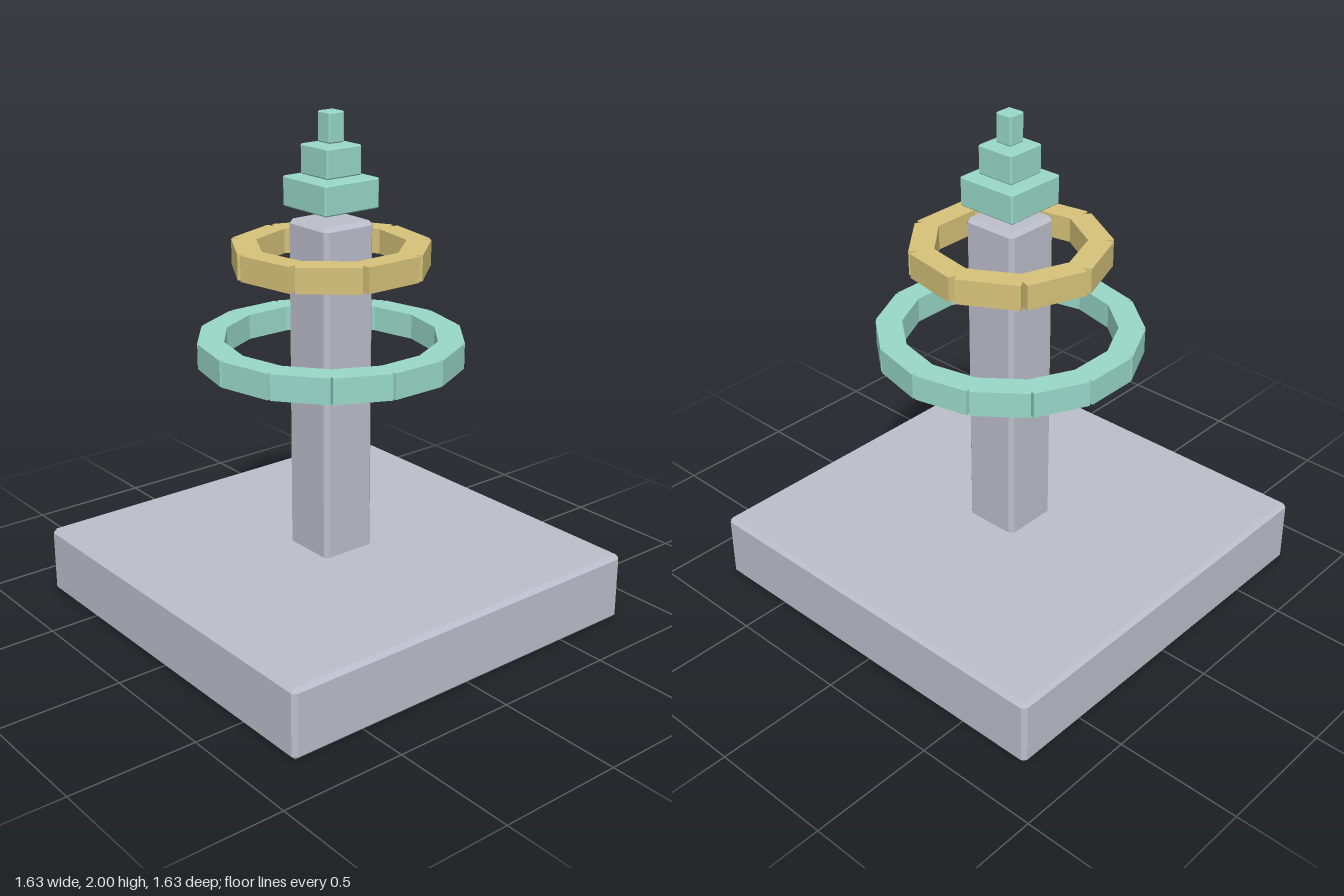
import * as THREE from 'three';
import { ConvexGeometry } from 'three/addons/geometries/ConvexGeometry.js';

// Square block with every edge chamfered by c
function block(name, half, y0, y1, c, material) {
  const pts = [], mid = (y0 + y1) / 2, h = (y1 - y0) / 2;
  for (const sx of [-1, 1]) for (const sy of [-1, 1]) for (const sz of [-1, 1]) {
    for (let face = 0; face < 3; face++) {
      const inset = [c, c, c];
      inset[face] = 0;
      pts.push(new THREE.Vector3(sx * (half - inset[0]), sy * (h - inset[1]), sz * (half - inset[2])));
    }
  }
  const mesh = new THREE.Mesh(new ConvexGeometry(pts), material);
  mesh.position.y = mid;
  mesh.name = name;
  return mesh;
}

// Flat ring of straight segments, with a V notch at each outer joint
function ring(name, n, start, outer, inner, gap, y0, y1, material) {
  const half = Math.PI / n;
  const R = outer / Math.cos(half), r = inner / Math.cos(half);
  const depth = gap / Math.tan(half);
  const shape = new THREE.Shape(), hole = new THREE.Path();
  const outline = [], inside = [];
  for (let i = 0; i < n; i++) {
    const a = start + i * 2 * half;
    const at = (radial, side) => new THREE.Vector2(
      Math.cos(a) * radial - Math.sin(a) * side,
      Math.sin(a) * radial + Math.cos(a) * side);
    const lip = R - gap * Math.tan(half);
    outline.push(at(lip, -gap), at(lip - depth, 0), at(lip, gap));
    inside.push(at(r, 0));
  }
  shape.setFromPoints(outline);
  hole.setFromPoints(inside.reverse());
  shape.holes.push(hole);
  const geometry = new THREE.ExtrudeGeometry(shape, { depth: y1 - y0, bevelEnabled: false });
  geometry.rotateX(-Math.PI / 2);
  const mesh = new THREE.Mesh(geometry, material);
  mesh.position.y = y0;
  mesh.name = name;
  return mesh;
}

export function createModel() {
  const stone = new THREE.MeshStandardMaterial({ color: 0xbcbecb });
  stone.name = 'stone grey';
  const mint = new THREE.MeshStandardMaterial({ color: 0x98d8c8 });
  mint.name = 'mint';
  const gold = new THREE.MeshStandardMaterial({ color: 0xd6c279 });
  gold.name = 'gold';

  const model = new THREE.Group();
  model.name = 'ringedMonument';

  // Plinth and column
  model.add(block('base', 0.813, 0, 0.275, 0.016, stone));
  model.add(block('column', 0.117, 0.25, 1.595, 0.016, stone));

  // Floating rings
  model.add(ring('lowerRing', 14, Math.PI / 2, 0.503, 0.403, 0.005, 1.045, 1.145, mint));
  model.add(ring('upperRing', 9, Math.PI, 0.364, 0.271, 0.012, 1.407, 1.505, gold));

  // Stepped floating finial
  const finial = new THREE.Group();
  finial.name = 'finial';
  [[0.128, 1.642, 1.757], [0.081, 1.765, 1.878], [0.036, 1.885, 2.0]].forEach(([half, y0, y1], i) =>
    finial.add(block('finialStep' + (i + 1), half, y0, y1, 0.005, mint)));
  model.add(finial);

  return model;
}
